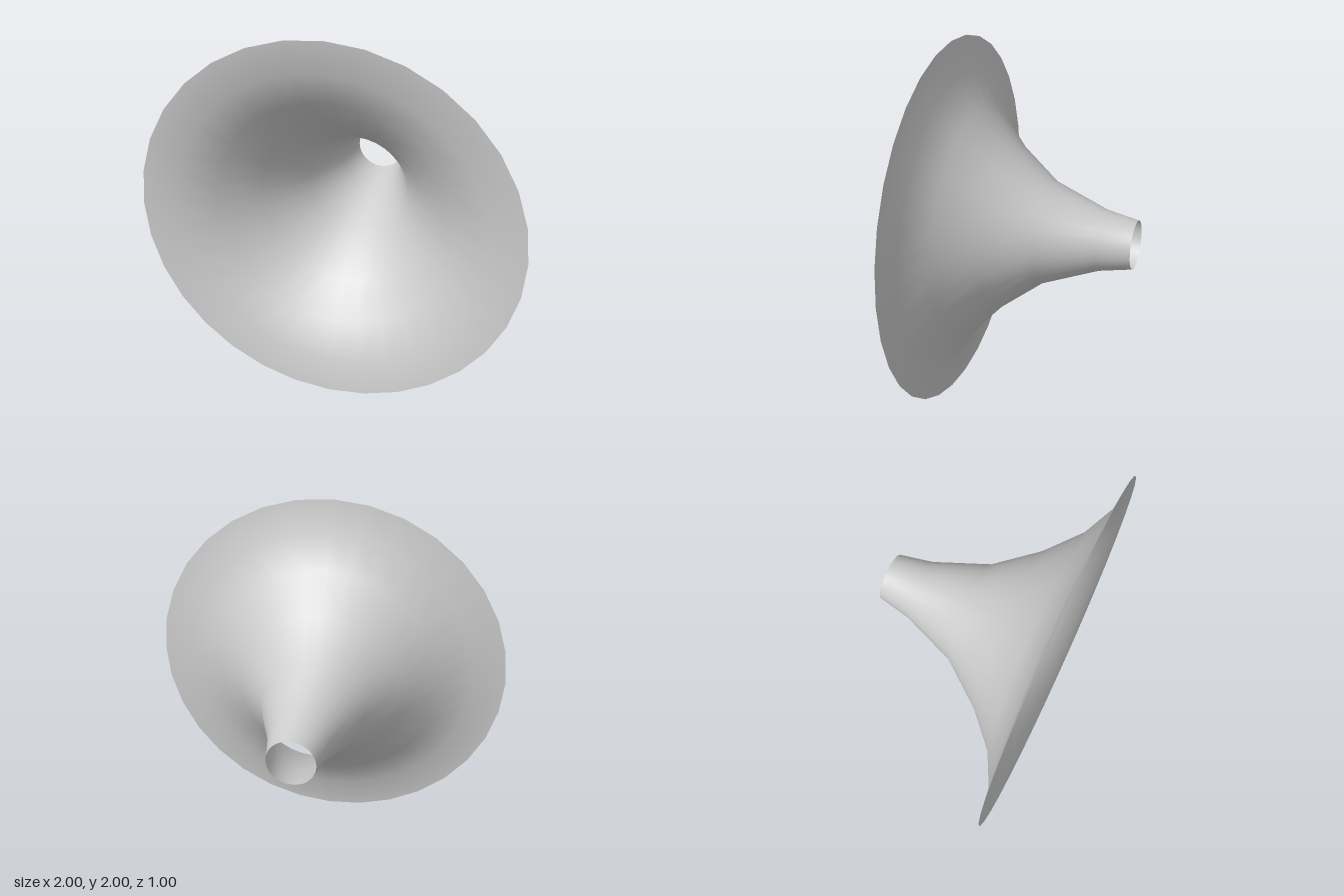
import * as THREE from 'three';

export function createModel() {
  const group = new THREE.Group();

  // Flared horn profile: [radius, z], from narrow neck to wide rim
  const profile = [
    [0.13, -0.5], [0.165, -0.32], [0.28, -0.02], [0.46, 0.213],
    [0.64, 0.38], [0.82, 0.473], [1, 0.5],
  ].map(([r, z]) => new THREE.Vector2(r, z));

  // Open, thin shell turned so that its axis runs along z
  const geometry = new THREE.LatheGeometry(profile, 32);
  geometry.rotateX(Math.PI / 2);

  const material = new THREE.MeshStandardMaterial({ color: 0xcccccc, side: THREE.DoubleSide });
  const horn = new THREE.Mesh(geometry, material);
  horn.name = 'flaredHorn';
  horn.position.y = 1;
  group.add(horn);

  return group;
}
